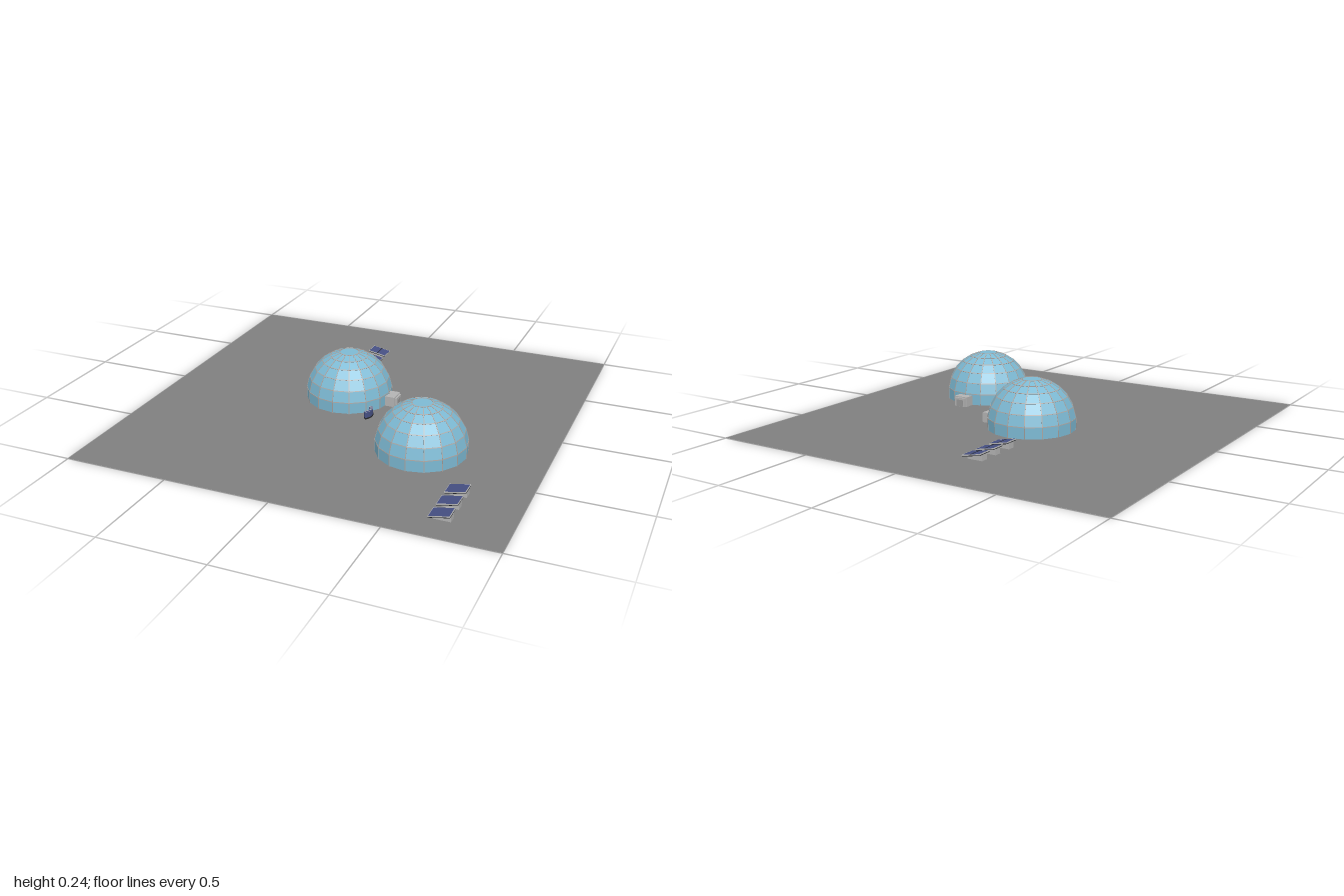
import * as THREE from 'three';

const mat = (name, color, extra = {}) => {
  const m = new THREE.MeshStandardMaterial({ color, ...extra });
  m.name = name;
  return m;
};

export function createModel() {
  const ground = mat('ground grey', 0x808080, { side: THREE.DoubleSide });
  const glass = mat('dome blue', 0x7dbad4, { flatShading: true, side: THREE.DoubleSide });
  const strut = mat('strut grey', 0xaaa5a2);
  const metal = mat('metal grey', 0xb4b4b4);
  const door = mat('door grey', 0x999999);
  const navy = mat('solar navy', 0x465083);
  const dark = mat('backing dark', 0x24262a);

  const model = new THREE.Group();
  model.name = 'domeBase';

  function add(parent, name, geometry, material, x = 0, y = 0, z = 0) {
    const mesh = new THREE.Mesh(geometry, material);
    mesh.name = name;
    mesh.position.set(x, y, z);
    parent.add(mesh);
    return mesh;
  }
  const box = (parent, name, size, material, x, y, z) =>
    add(parent, name, new THREE.BoxGeometry(...size), material, x, y, z);

  // Thin bar joining two points, its flat side facing away from the dome centre
  function bar(parent, a, b, width) {
    const mesh = box(parent, 'strut', [width, 0.003, a.distanceTo(b) + 0.002], strut, 0, 0, 0);
    mesh.position.copy(a).add(b).multiplyScalar(0.5);
    const along = b.clone().sub(a).normalize();
    const out = mesh.position.clone().setY(mesh.position.y - 0.03).normalize();
    const side = out.clone().cross(along).normalize();
    out.crossVectors(along, side);
    mesh.quaternion.setFromRotationMatrix(new THREE.Matrix4().makeBasis(side, out, along));
  }

  // Ground plate
  add(model, 'ground', new THREE.PlaneGeometry(2, 2).rotateX(-Math.PI / 2), ground, 0, 0.001, 0);

  // Faceted glass dome with struts and an airlock on its local +x side
  function dome(name, x, z, turn) {
    const g = new THREE.Group();
    g.name = name;
    const R = 0.214, sides = 16;
    const profile = [98, 83, 68, 53, 39, 26, 13].map((deg) => {
      const t = THREE.MathUtils.degToRad(deg);
      return new THREE.Vector2(R * Math.sin(t), 0.031 + R * Math.cos(t));
    });
    const shell = [...profile, new THREE.Vector2(0, profile[6].y)];
    add(g, 'glassShell', new THREE.LatheGeometry(shell, sides), glass);

    const frame = new THREE.Group();
    frame.name = 'domeFrame';
    const point = (row, i) => {
      const a = (i / sides) * Math.PI * 2, p = profile[row];
      return new THREE.Vector3(p.x * Math.sin(a), p.y, p.x * Math.cos(a));
    };
    for (let row = 0; row < profile.length; row++) {
      for (let i = 0; i < sides; i++) {
        if (row > 0) bar(frame, point(row, i), point(row, i + 1), 0.004);
        if (row < 6) bar(frame, point(row, i), point(row + 1, i), 0.004);
      }
    }
    g.add(frame);

    // Airlock: body, narrower doorway and door
    const lock = new THREE.Group();
    lock.name = 'airlock';
    box(lock, 'airlockBody', [0.06, 0.05, 0.075], metal, 0.225, 0.025, 0);
    box(lock, 'doorway', [0.01, 0.045, 0.06], metal, 0.26, 0.0225, 0);
    box(lock, 'door', [0.004, 0.034, 0.04], door, 0.2645, 0.018, 0);
    g.add(lock);

    g.position.set(x, 0.001, z);
    g.rotation.y = turn;
    model.add(g);
  }
  dome('backDome', -0.103, -0.098, 0);
  dome('frontDome', 0.43, 0.323, Math.PI / 2);

  // Wedge-shaped stand, rising toward local +x
  const wedge = new THREE.Shape([[-0.03, 0], [0.046, 0], [0.046, 0.031], [-0.03, 0.015]]
    .map(([x, y]) => new THREE.Vector2(x, y)));
  const standGeometry = new THREE.ExtrudeGeometry(wedge, { depth: 0.036, bevelEnabled: false });
  standGeometry.translate(0, 0, -0.018);

  // Row of tilted solar panels
  function solarRow(name, x, zs, turn, split) {
    const row = new THREE.Group();
    row.name = name;
    for (const z of zs) {
      const g = new THREE.Group();
      g.name = 'solarPanel';
      add(g, 'stand', standGeometry, metal);
      const top = new THREE.Group();
      top.name = 'panelTop';
      box(top, 'backing', [0.094, 0.004, 0.074], dark, 0, -0.001, 0);
      box(top, 'cells', [0.091, 0.004, 0.071], navy, 0, 0.003, 0);
      for (const s of [-1, 1]) {
        box(top, 'panelRim', [0.096, 0.005, 0.002], metal, 0, 0.0025, s * 0.0365);
        box(top, 'panelEdge', [0.002, 0.005, 0.075], metal, s * 0.0465, 0.0025, 0);
      }
      if (split) box(top, 'seam', [0.004, 0.001, 0.072], dark, 0, 0.0055, 0);
      top.position.y = 0.024;
      top.rotation.z = 0.19;
      g.add(top);
      g.position.set(x, 0, z);
      g.rotation.y = turn;
      row.add(g);
    }
    model.add(row);
  }
  solarRow('backSolarRow', -0.163, [-0.655, -0.55, -0.443], Math.PI, true);
  solarRow('frontSolarRow', 0.702, [0.635, 0.74, 0.845], 0, false);

  // Small curved screen between the domes
  const screen = new THREE.Group();
  screen.name = 'curvedScreen';
  const arcPlate = (inner, outer, height) => {
    const s = new THREE.Shape();
    s.absarc(0, 0, outer, -0.8, 0.8, false);
    s.absarc(0, 0, inner, 0.8, -0.8, true);
    return new THREE.ExtrudeGeometry(s, { depth: height, bevelEnabled: false, curveSegments: 8 })
      .rotateX(-Math.PI / 2);
  };
  add(screen, 'screenBody', arcPlate(0.044, 0.06, 0.034), navy);
  add(screen, 'screenBase', arcPlate(0.042, 0.062, 0.006), dark);
  for (let i = 0; i < 5; i++) {
    const a = -0.7 + i * 0.35;
    const rib = box(screen, 'screenRib', [0.017, 0.002, 0.003], metal,
      0.052 * Math.cos(a), 0.035, -0.052 * Math.sin(a));
    rib.rotation.y = a;
  }
  screen.position.set(0.03, 0.001, 0.078);
  model.add(screen);

  return model;
}
